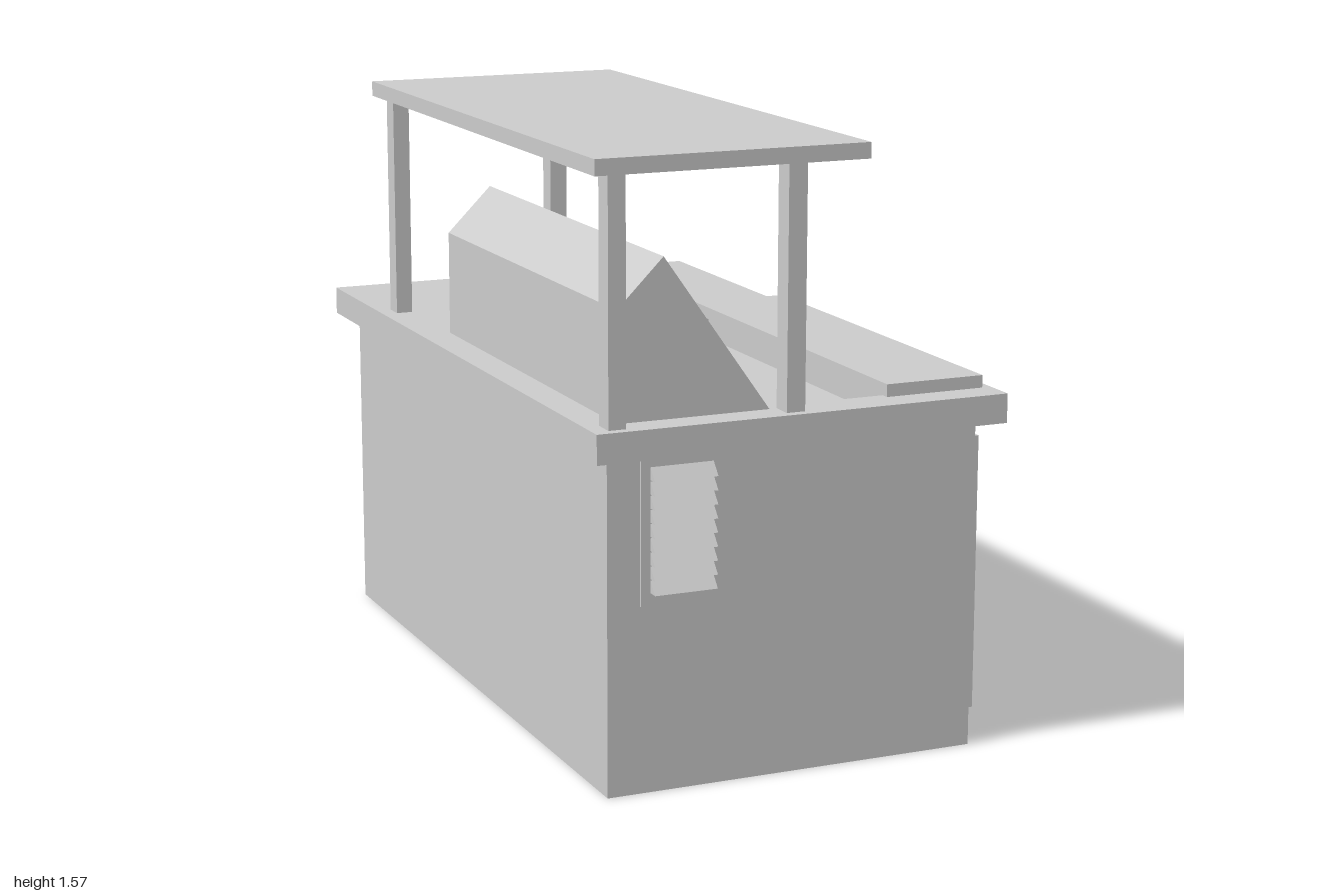
import * as THREE from 'three';

const material = new THREE.MeshStandardMaterial({ color: 0xcccccc, flatShading: true });

function add(parent, name, geometry) {
  const mesh = new THREE.Mesh(geometry, material);
  mesh.name = name;
  parent.add(mesh);
  return mesh;
}

// Box given by its limits on each axis
function box(parent, name, [x0, x1], [y0, y1], [z0, z1]) {
  const mesh = add(parent, name, new THREE.BoxGeometry(x1 - x0, y1 - y0, z1 - z0));
  mesh.position.set((x0 + x1) / 2, (y0 + y1) / 2, (z0 + z1) / 2);
  return mesh;
}

const polygon = (points) => new THREE.Shape(points.map(([x, y]) => new THREE.Vector2(x, y)));
const rect = (x0, x1, y0, y1) => polygon([[x0, y0], [x1, y0], [x1, y1], [x0, y1]]);

// Prism with an x-y profile between two z values
function prism(parent, name, points, z0, z1) {
  const geometry = new THREE.ExtrudeGeometry(polygon(points), { depth: z1 - z0, bevelEnabled: false });
  add(parent, name, geometry.translate(0, 0, z0));
}

export function createModel() {
  const group = new THREE.Group();

  // Cabinet and worktop, with a shallow well cut through the top
  box(group, 'cabinet', [-0.51, 0.485], [0, 0.85], [-0.94, 0.94]);
  const top = rect(-0.56, 0.54, -1, 1);
  top.holes.push(rect(-0.06, 0.29, -0.895, 0.235));
  const topGeometry = new THREE.ExtrudeGeometry(top, { depth: 0.075, bevelEnabled: false });
  add(group, 'worktop', topGeometry.rotateX(-Math.PI / 2).translate(0, 0.85, 0));
  box(group, 'cuttingBoard', [0.247, 0.515], [0.925, 0.957], [-0.23, 0.917]);

  // Doors with bar handles
  for (const [z0, z1, h0, h1] of [[0.05, 0.905, 0.1, 0.285], [-0.88, -0.02, -0.82, -0.64]]) {
    box(group, 'door', [0.485, 0.515], [0.085, 0.8], [z0, z1]);
    box(group, 'doorHandle', [0.515, 0.56], [0.73, 0.765], [h0, h1]);
  }

  // Louvred vents on both ends
  for (const side of [1, -1]) {
    const vent = new THREE.Group();
    vent.name = 'vent';
    box(vent, 'ventPlate', [-0.425, -0.21], [0.475, 0.84], [0.94, 0.947]);
    for (let i = 0; i < 9; i++) {
      const y = 0.507 + i * 0.035;
      const slat = polygon([[0, 0], [0.03, 0], [0, 0.034]]);
      const geometry = new THREE.ExtrudeGeometry(slat, { depth: 0.165, bevelEnabled: false });
      add(vent, 'slat', geometry.rotateY(-Math.PI / 2).translate(-0.235, y, 0.945));
    }
    if (side < 0) {
      // Turn to the far end, keeping the same x range
      vent.rotation.y = Math.PI;
      vent.position.x = -0.635;
    }
    group.add(vent);
  }

  // Sloped hood: solid cheeks, then two steps of recess towards the middle
  const hood = new THREE.Group();
  hood.name = 'hood';
  const back = [[-0.355, 1.32], [-0.475, 1.2], [-0.475, 0.925]];
  const cheek = [...back, [-0.075, 0.925]];
  const step = [...back, [-0.191, 0.925], [-0.414, 1.24], [-0.337, 1.295]];
  const middle = [...back, [-0.244, 0.925], [-0.446, 1.21], [-0.411, 1.235], [-0.414, 1.24], [-0.337, 1.295]];
  prism(hood, 'hoodCheek', cheek, 0.87, 0.92);
  prism(hood, 'hoodCheek', cheek, -0.25, -0.19);
  prism(hood, 'hoodStep', step, 0.84, 0.87);
  prism(hood, 'hoodStep', step, -0.19, -0.155);
  prism(hood, 'hoodPanel', middle, -0.155, 0.84);
  prism(hood, 'hoodSill', [[-0.075, 0.925], [-0.093, 0.95], [-0.128, 0.925]], -0.19, 0.87);
  group.add(hood);

  // Canopy on four posts
  box(group, 'canopy', [-0.555, 0.16], [1.53, 1.57], [-0.64, 0.98]);
  for (const x of [[-0.52, -0.475], [-0.055, -0.006]]) {
    for (const z of [[0.918, 0.975], [-0.62, -0.565]]) box(group, 'post', x, [0.925, 1.53], z);
  }

  return group;
}
